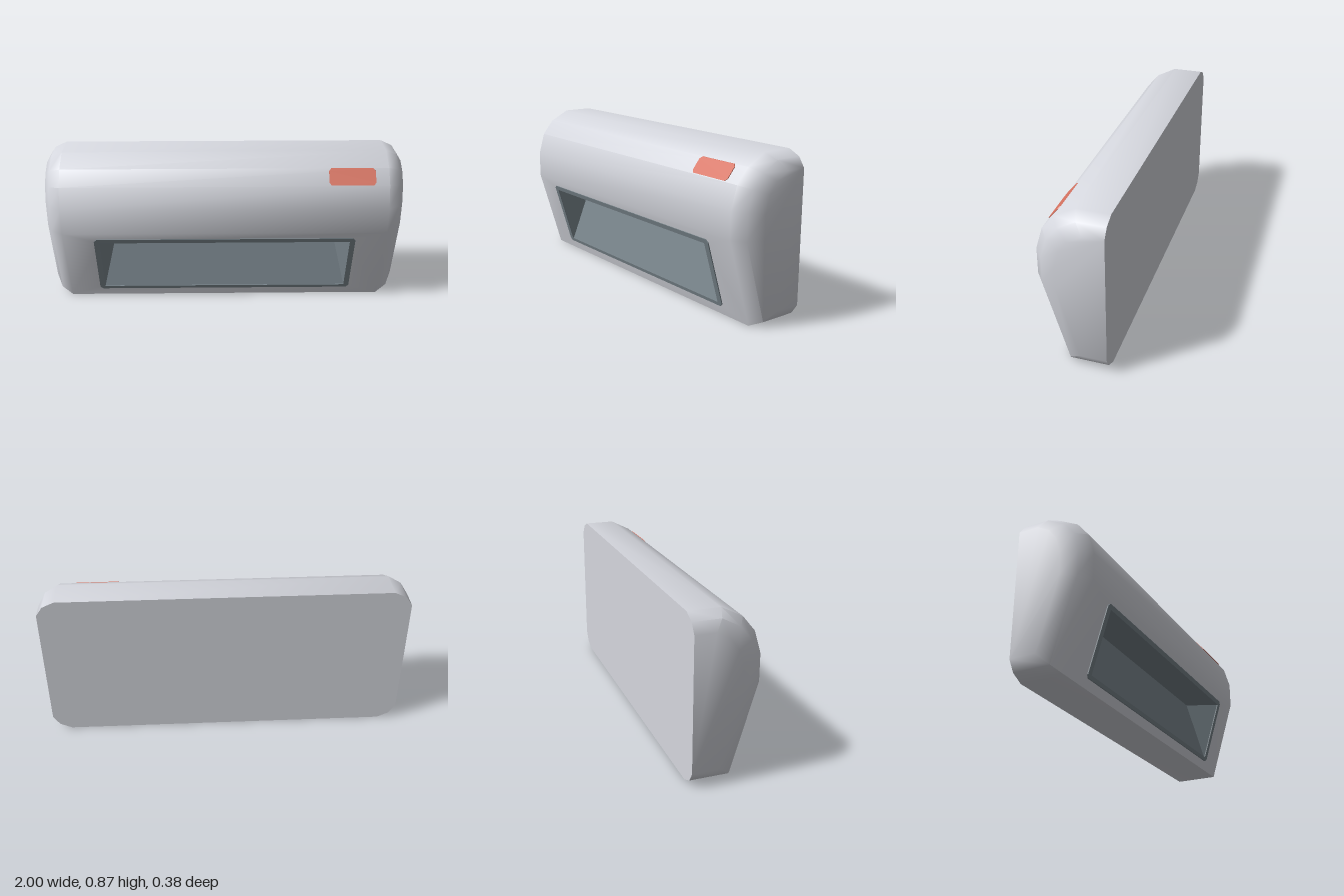
import * as THREE from 'three';
import { mergeGeometries, toCreasedNormals } from 'three/addons/utils/BufferGeometryUtils.js';

const mat = (name, color) => Object.assign(new THREE.MeshStandardMaterial({ color }), { name });

// Side profile as [z, y]: full size in the middle, inset at the two ends
const FULL = [[-0.19, 0], [0.05, 0], [0.19, 0.47], [0.19, 0.615], [0.155, 0.735], [0.09, 0.815], [-0.02, 0.872], [-0.19, 0.872]];
const END = [[-0.19, 0.085], [-0.05, 0.085], [0.06, 0.47], [0.06, 0.6], [0.035, 0.69], [-0.01, 0.75], [-0.08, 0.79], [-0.19, 0.79]];
// Stations along the width: [x, inset amount]
const STATIONS = [[-1, 1], [-0.965, 0.37], [-0.9, 0], [0.9, 0], [0.965, 0.37], [1, 1]];

// Depth of two sloping faces of the profile at height y
const slope = ([z0, y0], [z1, y1]) => (y) => z0 + (y - y0) * (z1 - z0) / (y1 - y0);
const lowerFront = slope(FULL[1], FULL[2]);
const upperFront = slope(FULL[4], FULL[5]);

// Opening in the lower front
const OPEN = { x: 0.7, y0: 0.07, y1: 0.405 };

// Lay a front-facing geometry onto a sloping face
function layOn(geo, depthAt) {
  const p = geo.attributes.position;
  for (let i = 0; i < p.count; i++) p.setZ(i, p.getZ(i) + depthAt(p.getY(i)));
  geo.computeVertexNormals();
  return geo;
}

// Rectangle with cut corners, c = 0 for square ones
function rect(x0, y0, x1, y1, c, Type = THREE.Shape) {
  const pts = c
    ? [[x0 + c, y0], [x1 - c, y0], [x1, y0 + c], [x1, y1 - c], [x1 - c, y1], [x0 + c, y1], [x0, y1 - c], [x0, y0 + c]]
    : [[x0, y0], [x1, y0], [x1, y1], [x0, y1]];
  return new Type(pts.map(([x, y]) => new THREE.Vector2(x, y)));
}
const openingHole = () => rect(-OPEN.x, OPEN.y0, OPEN.x, OPEN.y1, 0, THREE.Path);

function facesGeometry(faces) {
  const pos = [];
  for (const f of faces)
    for (let k = 1; k < f.length - 1; k++) pos.push(...f[0], ...f[k], ...f[k + 1]);
  const geo = new THREE.BufferGeometry();
  geo.setAttribute('position', new THREE.Float32BufferAttribute(pos, 3));
  geo.computeVertexNormals();
  return geo;
}

// Lofted shell with rounded ends, flat back and an opening in the lower front
function shellGeometry() {
  const rings = STATIONS.map(([x, t]) => FULL.map(([z, y], j) =>
    [x, y + (END[j][1] - y) * t, z + (END[j][0] - z) * t]));
  const n = FULL.length;
  const faces = [rings[0], [...rings[5]].reverse()];
  for (let i = 0; i < 5; i++)
    for (let j = 0; j < n; j++) {
      if (i === 2 && j === 1) continue; // replaced by the pierced panel
      const k = (j + 1) % n;
      faces.push([rings[i][j], rings[i + 1][j], rings[i + 1][k], rings[i][k]]);
    }
  const panel = rect(-0.9, 0, 0.9, 0.47, 0);
  panel.holes.push(openingHole());
  const pierced = layOn(new THREE.ShapeGeometry(panel), lowerFront).toNonIndexed();
  pierced.deleteAttribute('uv');
  return toCreasedNormals(mergeGeometries([facesGeometry(faces), pierced]), 0.7);
}

// Wedge-shaped recess behind the opening
function recessGeometry() {
  const { x, y0, y1 } = OPEN;
  const a = [-x, y0, lowerFront(y0)], b = [x, y0, lowerFront(y0)];
  const c = [x, y1, lowerFront(y1)], d = [-x, y1, lowerFront(y1)];
  const e = [-0.62, y1, -0.005], f = [0.62, y1, -0.005];
  return facesGeometry([[a, b, f, e], [a, e, d], [b, c, f], [d, e, f, c]]);
}

export function createModel() {
  const group = new THREE.Group();
  group.name = 'wallUnit';
  const shell = mat('paleGrey', 0xd5d7de);
  const dark = mat('slateGrey', 0x7b878e);
  const red = mat('softRed', 0xd67260);
  const add = (name, geo, material) => {
    const mesh = new THREE.Mesh(geo, material);
    mesh.name = name;
    group.add(mesh);
  };

  add('shell', shellGeometry(), shell);
  add('recess', recessGeometry(), dark);

  // Thin rim around the opening
  const rim = rect(-0.73, 0.05, 0.73, 0.43, 0.015);
  rim.holes.push(openingHole());
  add('openingRim', layOn(new THREE.ExtrudeGeometry(rim, { depth: 0.006, bevelEnabled: false }), lowerFront), dark);

  // Small indicator plate on the upper front
  const plate = rect(0.57, 0.74, 0.825, 0.815, 0.012);
  add('indicator', layOn(new THREE.ExtrudeGeometry(plate, { depth: 0.005, bevelEnabled: false }), upperFront), red);
  return group;
}
